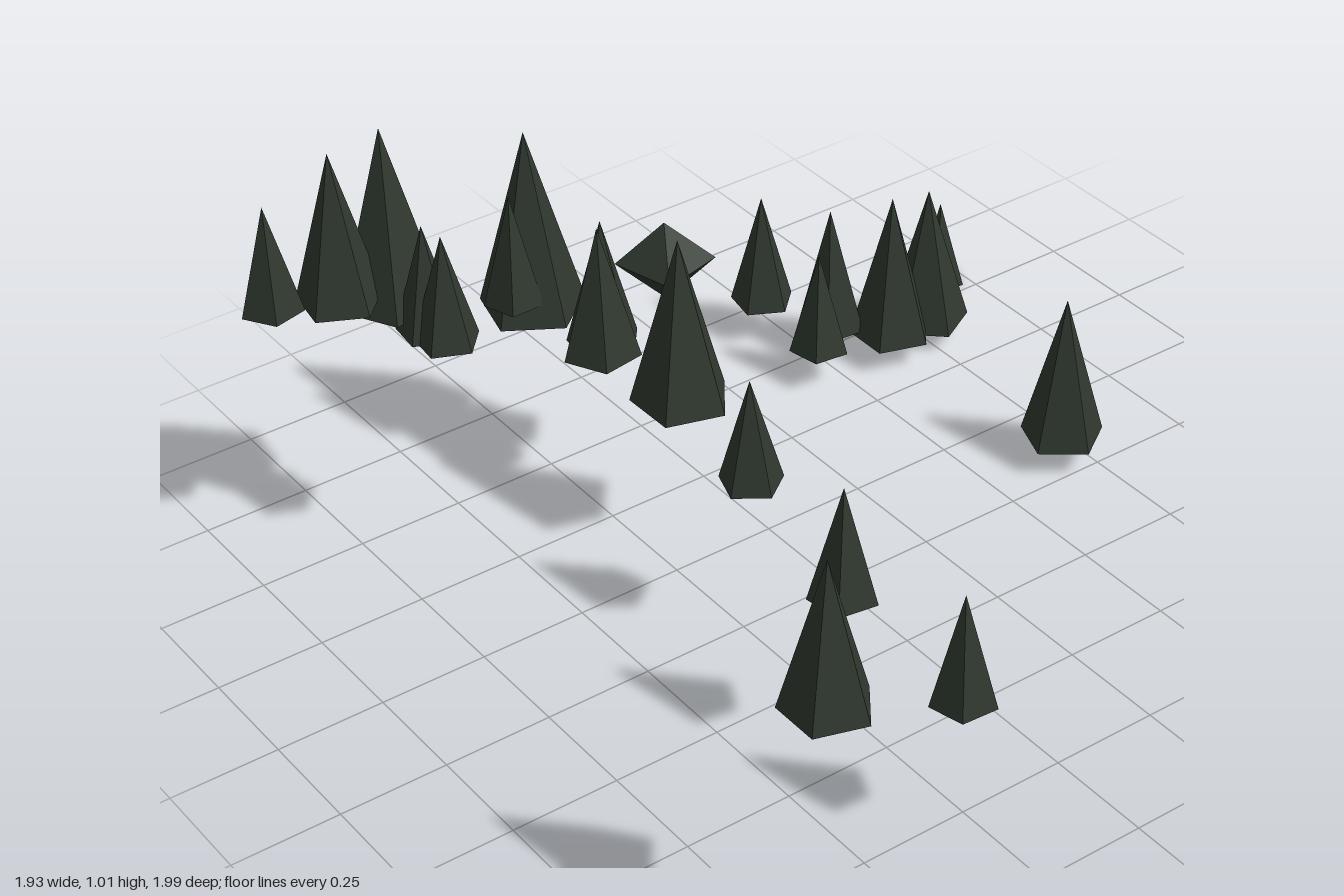
import * as THREE from 'three';

export function createModel() {
  const model = new THREE.Group();
  model.name = 'pineGrove';
  const pine = new THREE.MeshStandardMaterial({ color: 0x2f382f, flatShading: true });
  pine.name = 'darkPine';

  // Each tree: x, z, base height, tip height, radius, turn in degrees
  const groves = {
    backGrove: [
      [-0.82, -0.94, 0.00, 0.22, 0.062, 50],
      [-0.07, -0.70, 0.06, 0.425, 0.098, 16],
      [-0.90, -0.46, 0.09, 0.375, 0.077, 26],
      [-0.655, -0.77, 0.045, 0.40, 0.1, 11],
      [-0.64, -0.65, 0.06, 0.43, 0.1, 36],
      [-0.735, -0.54, 0.075, 0.39, 0.084, 49],
      [-0.66, -0.45, 0.085, 0.34, 0.072, 47],
    ],
    middleGrove: [
      [-0.84, 0.22, 0.375, 0.825, 0.124, 22],
      [-0.81, 0.285, 0.43, 0.70, 0.07, 55],
      [-0.68, 0.135, 0.33, 0.645, 0.086, 34],
      [-0.585, 0.205, 0.38, 0.70, 0.09, 63],
      [-0.335, 0.165, 0.375, 0.78, 0.114, 37],
      [0.03, 0.245, 0.40, 0.655, 0.072, 18],
      [0.44, 0.315, 0.39, 0.655, 0.077, 45],
      [0.785, 0.285, 0.33, 0.59, 0.072, 50],
    ],
    frontGrove: [
      [-0.765, 0.615, 0.59, 1.01, 0.119, 64],
      [-0.755, 0.745, 0.64, 1.00, 0.097, 27],
      [-0.715, 0.925, 0.71, 0.957, 0.069, 68],
      [-0.645, 0.60, 0.565, 0.825, 0.072, 30],
      [-0.585, 0.59, 0.565, 0.825, 0.074, 30],
      [0.87, 0.68, 0.57, 0.91, 0.097, 36],
    ],
  };

  // Five-sided cone trees, grouped by hillside row
  for (const [name, trees] of Object.entries(groves)) {
    const grove = new THREE.Group();
    grove.name = name;
    for (const [x, z, base, tip, radius, turn] of trees) {
      const tree = new THREE.Mesh(new THREE.ConeGeometry(radius, tip - base, 5), pine);
      tree.name = 'tree';
      tree.position.set(x, (base + tip) / 2, z);
      tree.rotation.y = THREE.MathUtils.degToRad(turn);
      grove.add(tree);
    }
    model.add(grove);
  }

  // Diamond-shaped boulder among the middle trees
  const boulder = new THREE.Mesh(new THREE.OctahedronGeometry(0.11), pine);
  boulder.name = 'boulder';
  boulder.scale.y = 0.88;
  boulder.position.set(-0.52, 0.6, 0.073);
  boulder.rotation.y = THREE.MathUtils.degToRad(-30);
  model.add(boulder);

  return model;
}
